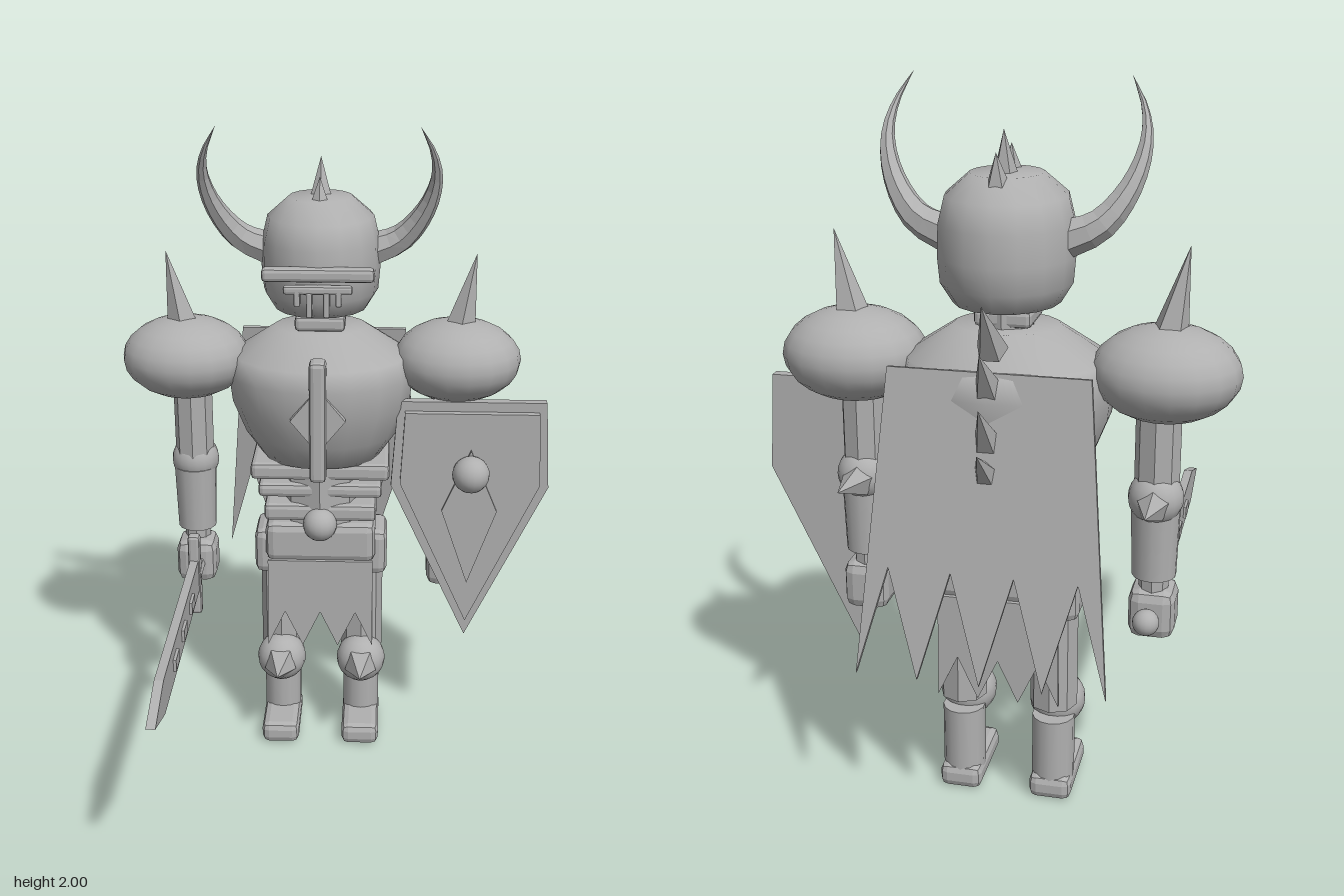
import * as THREE from 'three';
import { RoundedBoxGeometry } from 'three/addons/geometries/RoundedBoxGeometry.js';

const CX = -0.05, CZ = -0.36; // body axis
const steel = new THREE.MeshStandardMaterial({ color: 0xb0b0b0 });
steel.name = 'steel';
steel.side = THREE.DoubleSide;

export function createModel() {
  const model = new THREE.Group();
  const V = (x, y, z) => new THREE.Vector3(x, y, z);

  function add(name, geo, x = 0, y = 0, z = 0) {
    const m = new THREE.Mesh(geo, steel);
    m.name = name;
    m.position.set(x, y, z);
    model.add(m);
    return m;
  }
  const flat = (geo) => {
    const g = geo.index ? geo.toNonIndexed() : geo;
    g.computeVertexNormals();
    return g;
  };
  // chamfered box
  const block = (name, w, h, d, x, y, z, r = 0.018) =>
    add(name, flat(new RoundedBoxGeometry(w, h, d, 1, Math.min(r, w / 2.1, h / 2.1, d / 2.1))), x, y, z);
  const ball = (name, r, x, y, z) => add(name, new THREE.SphereGeometry(r, 18, 12), x, y, z);
  const tube = (name, r1, r2, y0, y1, x, z, sides) => {
    const g = new THREE.CylinderGeometry(r1, r2, y1 - y0, sides);
    return add(name, sides < 10 ? flat(g) : g, x, (y0 + y1) / 2, z);
  };
  // five-sided cone from a base centre to a tip
  function spike(name, base, tip, r) {
    const dir = tip.clone().sub(base);
    const m = add(name, flat(new THREE.ConeGeometry(r, dir.length(), 5)));
    m.position.copy(base).add(tip).multiplyScalar(0.5);
    m.quaternion.setFromUnitVectors(V(0, 1, 0), dir.normalize());
    return m;
  }
  // flat plate from an outline in x and y, front face at z + depth
  function plate(name, pts, depth, x, y, z) {
    const s = new THREE.Shape(pts.map((p) => new THREE.Vector2(p[0], p[1])));
    return add(name, new THREE.ExtrudeGeometry(s, { depth, bevelEnabled: false }), x, y, z);
  }
  const lathe = (name, pts, sides, zScale) => {
    const m = add(name, new THREE.LatheGeometry(pts.map((p) => new THREE.Vector2(p[0], p[1])), sides), CX, 0, CZ);
    m.scale.z = zScale;
    return m;
  };
  // cloth outline with a torn, zigzag hem
  function cloth(topHalf, hemHalf, top, tipY, valleyY, tips) {
    const pts = [[-topHalf, top]];
    const n = 2 * (tips - 1);
    for (let i = 0; i <= n; i++) pts.push([-hemHalf + (2 * hemHalf * i) / n, i % 2 ? valleyY : tipY]);
    pts.push([topHalf, top]);
    return pts;
  }

  // head and helmet
  lathe('helmet', [[0, 1.445], [0.14, 1.447], [0.172, 1.5], [0.178, 1.57], [0.175, 1.65],
    [0.158, 1.72], [0.095, 1.775], [0, 1.78]], 16, 1.1);
  block('visorBar', 0.325, 0.04, 0.045, CX, 1.588, -0.167, 0.012);
  block('visorLowerBar', 0.2, 0.025, 0.03, CX, 1.545, -0.16, 0.008);
  [-0.06, -0.025, 0.025, 0.06].forEach((x, i) =>
    block('visorSlat', 0.018, i % 3 ? 0.075 : 0.05, 0.03, CX + x, i % 3 ? 1.502 : 1.522, -0.16, 0.005));
  [[-0.3, 1.75, -0.31, 1.84], [-0.38, 1.77, -0.393, 1.885], [-0.46, 1.75, -0.477, 1.84]].forEach(
    ([z0, y0, z1, y1]) => spike('crestSpike', V(CX, y0, z0), V(CX, y1, z1), 0.033));

  // curved, tapering horns
  function horn(s) {
    const path = new THREE.CatmullRomCurve3([[0.14, 1.61, -0.37], [0.235, 1.65, -0.36], [0.305, 1.74, -0.325],
      [0.335, 1.84, -0.28], [0.325, 1.92, -0.235], [0.285, 2.0, -0.195]].map((p) => V(CX + s * p[0], p[1], p[2])));
    const rows = 14, sides = 7;
    const g = new THREE.TubeGeometry(path, rows, 0.052, sides, false);
    const pos = g.attributes.position, v = V(0, 0, 0);
    for (let i = 0; i < pos.count; i++) {
      const t = Math.floor(i / (sides + 1)) / rows;
      const c = path.getPointAt(t);
      v.fromBufferAttribute(pos, i).sub(c).multiplyScalar(1 - t).add(c);
      pos.setXYZ(i, v.x, v.y, v.z);
    }
    add('horn', flat(g));
  }

  // neck and torso
  tube('neck', 0.07, 0.07, 1.34, 1.46, CX, CZ, 8);
  block('neckGuard', 0.15, 0.045, 0.16, CX, 1.41, -0.345, 0.012);
  const collar = add('collar', new THREE.TorusGeometry(0.11, 0.015, 6, 18), CX, 1.372, CZ);
  collar.rotation.x = Math.PI / 2;
  lathe('torso', [[0, 0.97], [0.18, 0.97], [0.235, 1.05], [0.275, 1.15], [0.286, 1.24], [0.27, 1.3],
    [0.14, 1.385], [0, 1.385]], 18, 0.84);
  block('chestRidge', 0.05, 0.375, 0.07, CX, 1.155, -0.132, 0.014);
  plate('chestDiamond', [[0, -0.1], [0.082, 0], [0, 0.1], [-0.082, 0]], 0.025, CX, 1.16, -0.138);

  // waist
  tube('waist', 0.13, 0.13, 0.72, 0.98, CX, CZ, 8);
  [[0.43, 0.055, 0.945], [0.385, 0.045, 0.882], [0.35, 0.055, 0.808]].forEach(([w, h, y]) =>
    block('waistBand', w, h, 0.24, CX, y, CZ, 0.015));
  block('pelvis', 0.345, 0.13, 0.25, CX, 0.705, CZ, 0.025);
  ball('buckle', 0.053, CX, 0.775, -0.235);
  const loin = cloth(0.165, 0.168, 0.65, 0.35, 0.47, 4);
  plate('frontCloth', loin, 0.012, CX, 0, -0.24);
  plate('backCloth', loin, 0.012, CX, 0, -0.492);

  // cape, leaning backwards towards the hem
  const lean = Math.atan2(0.125, 0.805);
  const cape = plate('cape', cloth(0.26, 0.33, 0, -0.815, -0.52, 5), 0.014, CX, 1.315, -0.575);
  cape.rotation.x = lean;
  [[1.36, -0.53, 1.5, -0.635], [1.26, -0.56, 1.385, -0.66], [1.12, -0.57, 1.25, -0.675],
    [1.03, -0.57, 1.14, -0.695]].forEach(([y0, z0, y1, z1]) =>
    spike('backSpike', V(CX, y0, z0), V(CX, y1, z1), 0.042));

  // mirrored limbs
  for (const s of [-1, 1]) {
    horn(s);
    const ax = CX + s * 0.4, lx = CX + s * 0.13;
    const pad = add('shoulderPad', new THREE.SphereGeometry(1, 18, 12), CX + s * 0.415, 1.28, CZ - 0.002);
    pad.scale.set(0.195, 0.126, 0.175);
    spike('shoulderSpike', V(CX + s * 0.42, 1.375, -0.363), V(CX + s * 0.465, 1.61, -0.355), 0.05);
    tube('upperArm', 0.06, 0.06, 0.96, 1.22, ax, CZ, 8);
    ball('elbow', 0.074, ax, 0.94, -0.37);
    spike('elbowSpike', V(ax, 0.935, -0.425), V(ax, 0.965, -0.588), 0.045);
    tube('forearm', 0.066, 0.06, 0.715, 0.92, ax, CZ, 14);
    tube('wrist', 0.04, 0.04, 0.66, 0.72, ax, CZ, 8);
    block('hand', 0.125, 0.14, 0.135, ax, 0.61, -0.348, 0.03);

    block('hipGuard', 0.15, 0.15, 0.17, lx + s * 0.005, 0.655, CZ, 0.025);
    tube('thigh', 0.067, 0.067, 0.29, 0.6, lx, CZ, 8);
    ball('knee', 0.079, lx, 0.27, -0.3);
    spike('kneeSpike', V(lx, 0.275, -0.235), V(lx, 0.3, -0.1), 0.053);
    tube('shin', 0.06, 0.06, 0.05, 0.25, lx, CZ, 14);
    block('foot', 0.12, 0.07, 0.245, lx, 0.04, -0.302, 0.022);
  }

  // shield on the left arm
  const kite = (top, topHalf, mid, midHalf, low) =>
    [[-topHalf, top], [-midHalf, mid], [0, low], [midHalf, mid], [topHalf, top]];
  plate('shieldBack', kite(1.175, 0.225, 0.9, 0.243, 0.385), 0.03, 0.412, 0, -0.29);
  plate('shieldFace', kite(1.145, 0.203, 0.915, 0.215, 0.445), 0.025, 0.412, 0, -0.262);
  plate('shieldDiamond', [[0, 0.585], [0.085, 0.83], [0, 1.03], [-0.085, 0.83]], 0.012, 0.412, 0, -0.238);
  ball('shieldBoss', 0.057, 0.412, 0.96, -0.21);

  // sword held forward in the right hand
  const SX = CX - 0.393, SY = 0.61;
  const blade = plate('swordBlade', [[0.2, -0.052], [-0.54, -0.052], [-0.7, 0], [-0.54, 0.052], [0.2, 0.052]],
    0.026, SX - 0.013, SY, 0);
  blade.rotation.y = Math.PI / 2;
  for (const z of [0, 0.17, 0.34]) add('bladeStud', new THREE.BoxGeometry(0.043, 0.036, 0.066), SX, SY, z);
  block('swordGuard', 0.038, 0.27, 0.038, SX, SY, -0.207, 0.01);
  const grip = tube('swordGrip', 0.022, 0.022, 0, 0.25, SX, -0.32, 8);
  grip.position.y = SY;
  grip.rotation.x = Math.PI / 2;
  ball('swordPommel', 0.036, SX, SY, -0.445);

  return model;
}
